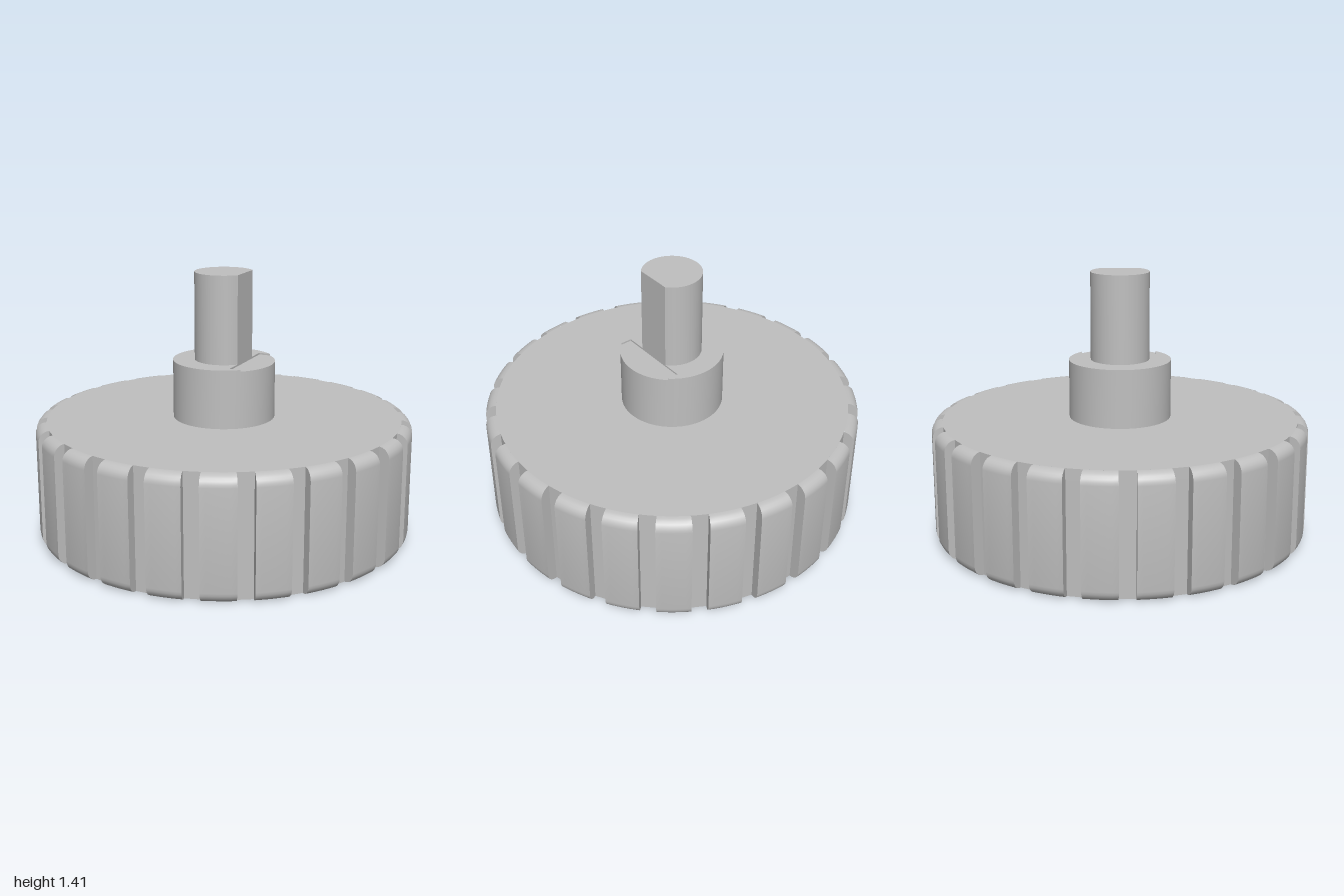
import * as THREE from 'three';
import { toCreasedNormals } from 'three/addons/utils/BufferGeometryUtils.js';

const TEETH = 24, ARC = 6;            // grip teeth, arc segments per tooth
const HEIGHT = 0.635, FLOOR = 0.942;  // wheel height, radius at the groove floors
const FILLET = 1 - FLOOR, GROOVE = 0.0425; // edge rounding, half groove width
const HOLE = 0.09;
const HUB_R = 0.27, HUB_TOP = 0.945, LEDGE = 0.936;
const SHAFT_R = 0.155, SHAFT_TOP = 1.41, FLAT_X = 0.12;

// Grooved rim: a toothed outline repeated at every level of the rounded profile
function rimGeometry() {
  const levels = [];
  for (let i = 0; i <= 6; i++) {
    const a = (i / 6) * Math.PI / 2;
    levels.push([FILLET * (1 - Math.cos(a)), FLOOR + FILLET * Math.sin(a)]);
  }
  for (let i = 6; i >= 0; i--) levels.push([HEIGHT - levels[i][0], levels[i][1]]);

  const positions = [], index = [];
  const step = (Math.PI * 2) / TEETH;
  const columns = TEETH * (ARC + 3);
  const put = (r, t, y) => positions.push(r * Math.sin(t), y, r * Math.cos(t));
  for (const [y, r] of levels) {
    const inner = Math.asin(GROOVE / FLOOR), outer = Math.asin(GROOVE / r);
    for (let k = 0; k < TEETH; k++) {
      const t = k * step;
      put(FLOOR, t + inner, y);
      for (let j = 0; j <= ARC; j++) put(r, t + outer + (step - 2 * outer) * j / ARC, y);
      put(FLOOR, t + step - inner, y);
    }
  }
  for (let i = 0; i < levels.length - 1; i++) {
    for (let j = 0; j < columns; j++) {
      const a = i * columns + j, b = i * columns + (j + 1) % columns;
      index.push(a, b, b + columns, a, b + columns, a + columns);
    }
  }
  const geometry = new THREE.BufferGeometry();
  geometry.setAttribute('position', new THREE.Float32BufferAttribute(positions, 3));
  geometry.setIndex(index);
  return toCreasedNormals(geometry, 0.5);
}

// Circle with an optional straight cut on the +x side
function cutCircle(radius, cutX, cutHalf) {
  const shape = new THREE.Shape();
  const a = Math.asin(cutHalf / radius);
  shape.absarc(0, 0, radius, a, Math.PI * 2 - a, false);
  if (cutX < radius * Math.cos(a) - 0.001) {
    shape.lineTo(cutX, -cutHalf);
    shape.lineTo(cutX, cutHalf);
  }
  shape.closePath();
  return shape;
}

// Upright prism from y0 to y1
function prism(shape, y0, y1) {
  const geometry = new THREE.ExtrudeGeometry(shape, { depth: y1 - y0, bevelEnabled: false, curveSegments: 64 });
  geometry.rotateX(-Math.PI / 2).translate(0, y0, 0);
  return toCreasedNormals(geometry, 0.5);
}

export function createModel() {
  const model = new THREE.Group();
  model.name = 'thumbwheel';
  const grey = new THREE.MeshStandardMaterial({ color: 0xbfbfbf });
  grey.name = 'plain grey';
  const add = (name, geometry) => {
    const mesh = new THREE.Mesh(geometry, grey);
    mesh.name = name;
    model.add(mesh);
  };

  // Wheel with flat faces
  add('gripRim', rimGeometry());
  add('wheelTop', new THREE.CircleGeometry(FLOOR, 192).rotateX(-Math.PI / 2).translate(0, HEIGHT, 0));
  add('wheelBottom', new THREE.RingGeometry(HOLE, FLOOR, 192).rotateX(Math.PI / 2));

  // Blind hole in the underside, facing inwards
  const bore = [[0, 0.6], [HOLE, 0.6], [HOLE, 0]].map(([x, y]) => new THREE.Vector2(x, y));
  add('bore', toCreasedNormals(new THREE.LatheGeometry(bore, 48), 0.5));

  // Hub, with a shallow ledge cut beside the flat of the shaft
  add('hub', toCreasedNormals(
    new THREE.CylinderGeometry(HUB_R, HUB_R, LEDGE - HEIGHT, 72).translate(0, (LEDGE + HEIGHT) / 2, 0), 0.5));
  add('hubStep', prism(cutCircle(HUB_R, FLAT_X, 0.2), LEDGE, HUB_TOP));

  // D-shaped shaft
  const flatHalf = Math.sqrt(SHAFT_R ** 2 - FLAT_X ** 2);
  add('shaft', prism(cutCircle(SHAFT_R, FLAT_X, flatHalf), LEDGE, SHAFT_TOP));

  return model;
}
